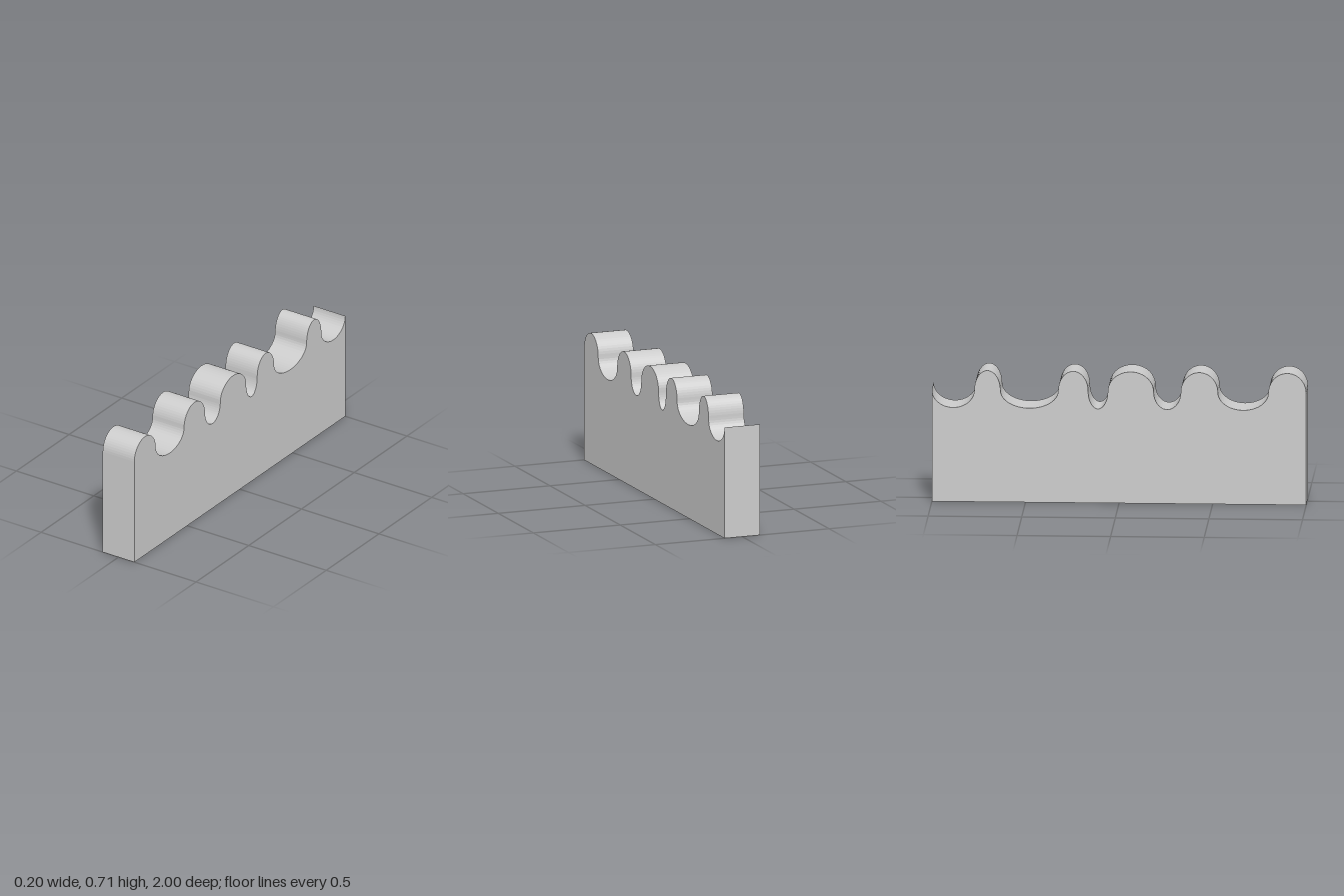
import * as THREE from 'three';

const WIDTH = 0.204;
const MID = 0.607;     // height where hollows and crests meet
const CREST = 0.108;   // rise of each rounded crest
const HOLLOW = 0.095;  // depth of each hollow

// Meeting points from back to front; hollows and crests alternate
const stops = [-1, -0.773, -0.634, -0.325, -0.165, -0.06, 0.185, 0.33, 0.528, 0.798, 1];

export function createModel() {
  const group = new THREE.Group();
  group.name = 'wavyPanel';

  // Side outline: half ellipses along the top, straight ends and base
  const outline = new THREE.Shape();
  outline.moveTo(-1, 0);
  outline.lineTo(-1, MID);
  for (let i = 0; i < stops.length - 1; i++) {
    const centre = (stops[i] + stops[i + 1]) / 2;
    const radius = (stops[i + 1] - stops[i]) / 2;
    const isCrest = i % 2 === 1;
    outline.absellipse(centre, MID, radius, isCrest ? CREST : HOLLOW,
      Math.PI, isCrest ? 0 : 2 * Math.PI, isCrest);
  }
  outline.lineTo(1, 0);
  outline.closePath();

  // Panel: outline extruded across the width, its length turned along z
  const geometry = new THREE.ExtrudeGeometry(outline, {
    depth: WIDTH, bevelEnabled: false, curveSegments: 12,
  });
  geometry.translate(0, 0, -WIDTH / 2);
  geometry.rotateY(-Math.PI / 2);

  const panel = new THREE.Mesh(geometry, new THREE.MeshStandardMaterial({ color: 0xcccccc }));
  panel.name = 'panel';
  group.add(panel);
  return group;
}
